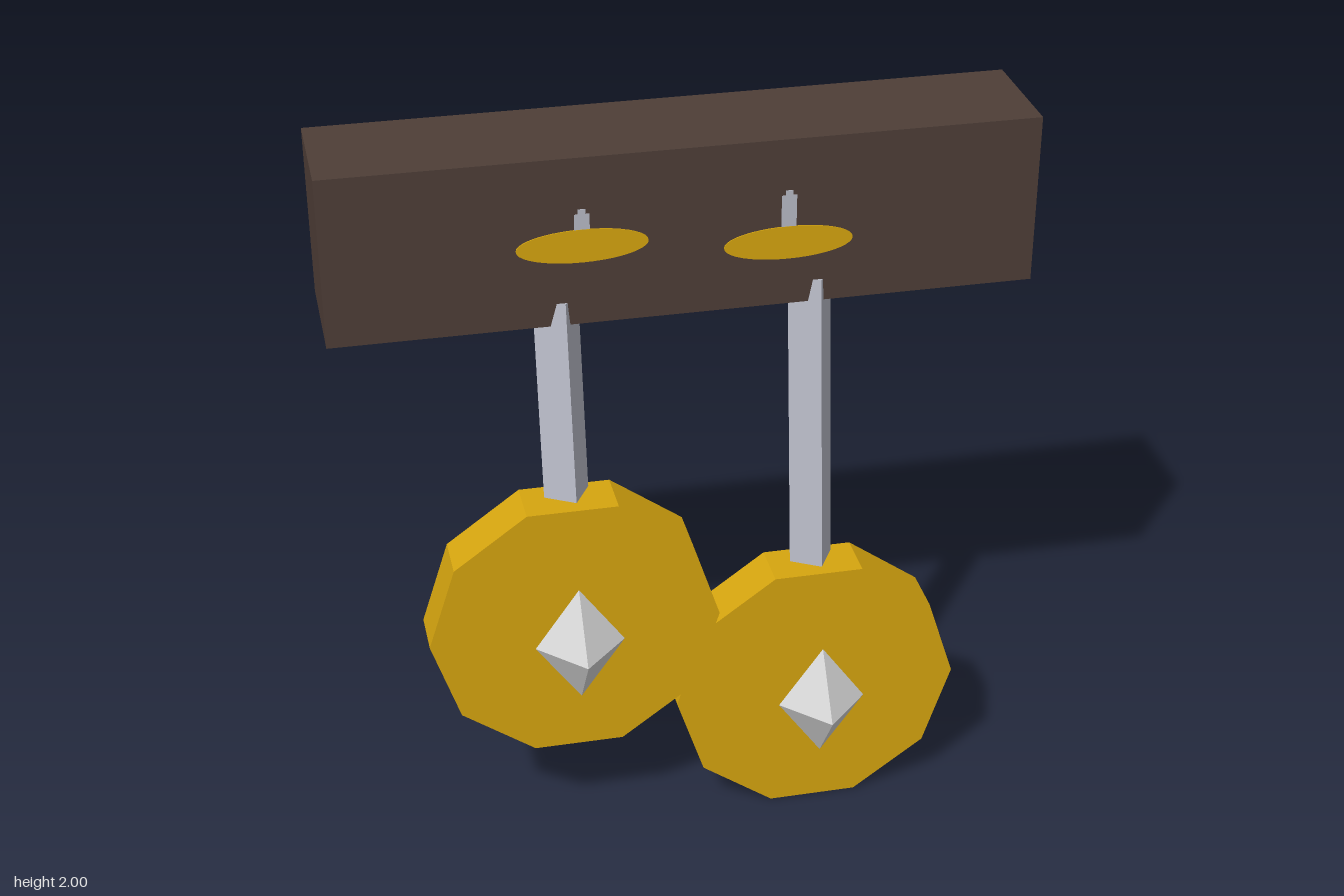
import * as THREE from 'three';

const material = (name, color) => {
  const m = new THREE.MeshStandardMaterial({ color, flatShading: true });
  m.name = name;
  return m;
};

export function createModel() {
  const wood = material('dark wood', 0x4e3e37);
  const gold = material('gold', 0xd6a50f);
  const steel = material('steel', 0xb8bac6);
  const silver = material('pale silver', 0xd6d6d6);

  const model = new THREE.Group();
  model.name = 'hangingDiscs';
  const add = (name, geometry, mat, x, y, z) => {
    const mesh = new THREE.Mesh(geometry, mat);
    mesh.name = name;
    mesh.position.set(x, y, z);
    model.add(mesh);
    return mesh;
  };

  // Beam across the top
  const back = -0.332, front = 0.003;
  add('beam', new THREE.BoxGeometry(1.88, 0.465, front - back), wood, 0, 1.7675, (front + back) / 2);

  // Ten-sided disc with a corner pointing sideways
  const discGeometry = new THREE.CylinderGeometry(0.4, 0.4, 0.14, 10, 1, false, Math.PI / 2).rotateX(Math.PI / 2);
  const gemGeometry = new THREE.OctahedronGeometry(1).scale(0.122, 0.173, 0.122);
  const ovalGeometry = new THREE.CylinderGeometry(1, 1, 0.006, 40).rotateX(Math.PI / 2).scale(0.172, 0.046, 1);

  const sides = [
    { side: 'right', x: -0.34, discY: 0.674, rodBottom: 0.98, tilt: 9.3, ovalX: -0.274, ovalY: 1.757 },
    { side: 'left', x: 0.34, discY: 0.382, rodBottom: 0.697, tilt: 6.5, ovalX: 0.268, ovalY: 1.712 },
  ];
  for (const s of sides) {
    add(s.side + 'Disc', discGeometry, gold, s.x, s.discY, 0.074);
    add(s.side + 'Gem', gemGeometry, silver, s.x, s.discY, 0.208);

    // Square rod, twisted and leaning back into the beam
    const top = 1.59;
    const length = (top - s.rodBottom) / Math.cos(THREE.MathUtils.degToRad(s.tilt));
    const rod = add(s.side + 'Rod', new THREE.BoxGeometry(0.092, length, 0.092), steel,
      s.x, (top + s.rodBottom) / 2, 0.003);
    rod.rotation.set(-THREE.MathUtils.degToRad(s.tilt), -Math.PI / 6, 0);

    // Thin oval inlay and pin on both faces of the beam
    for (const [face, z] of [['Front', front], ['Back', back]]) {
      add(s.side + face + 'Oval', ovalGeometry, gold, s.ovalX, s.ovalY, z);
      const pinBottom = s.ovalY + 0.03, pinTop = 1.845;
      add(s.side + face + 'Pin', new THREE.BoxGeometry(0.04, pinTop - pinBottom, 0.004), steel,
        s.ovalX, (pinTop + pinBottom) / 2, z);
      add(s.side + face + 'PinTip', new THREE.BoxGeometry(0.02, 0.014, 0.004), steel,
        s.ovalX, pinTop + 0.007, z);
    }
  }
  return model;
}
